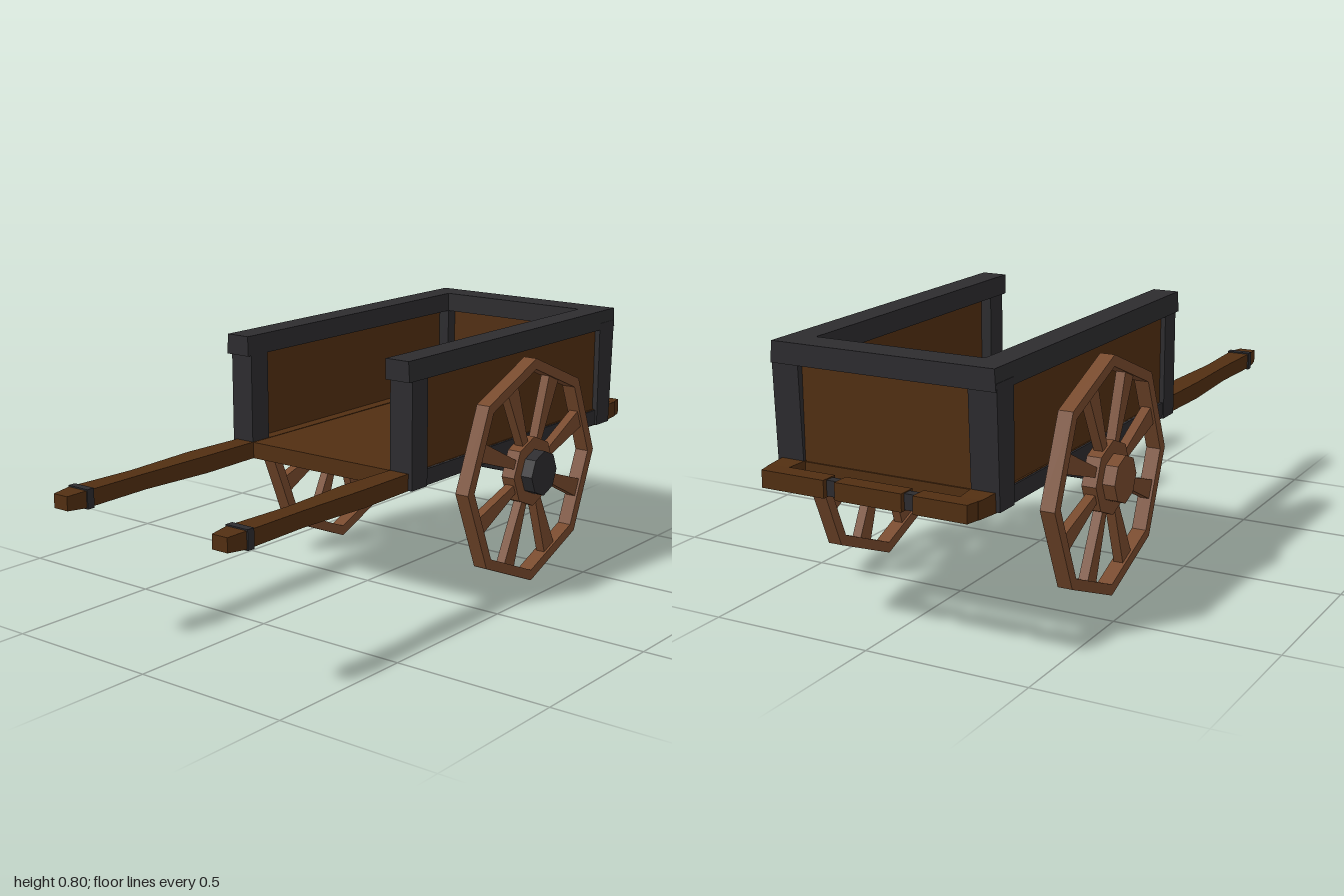
import * as THREE from 'three';

const paint = (color) => new THREE.MeshStandardMaterial({ color, flatShading: true });

export function createModel() {
  const cart = new THREE.Group();
  const wood = paint(0x522f12), wheelWood = paint(0x784a2d), iron = paint(0x2d2c2f);

  function add(name, geometry, material, parent = cart) {
    const mesh = new THREE.Mesh(geometry, material);
    mesh.name = name;
    parent.add(mesh);
    return mesh;
  }
  // box given by its limits on each axis
  function block(name, [x0, x1], [y0, y1], [z0, z1], material) {
    const g = new THREE.BoxGeometry(x1 - x0, y1 - y0, z1 - z0);
    g.translate((x0 + x1) / 2, (y0 + y1) / 2, (z0 + z1) / 2);
    return add(name, g, material);
  }
  // move the vertices of a mesh by a rule
  function reshape(mesh, rule) {
    const p = mesh.geometry.attributes.position, v = new THREE.Vector3();
    for (let i = 0; i < p.count; i++) {
      rule(v.fromBufferAttribute(p, i));
      p.setXYZ(i, v.x, v.y, v.z);
    }
    mesh.geometry.computeVertexNormals();
    return mesh;
  }

  // long side beam that becomes the pulling handle: x, half width, half height
  const stations = [
    [-1, 0.027, 0.021], [-0.94, 0.035, 0.025], [-0.9, 0.035, 0.025], [-0.7, 0.03, 0.024],
    [-0.45, 0.039, 0.027], [-0.25, 0.034, 0.026], [0.88, 0.038, 0.028], [0.96, 0.031, 0.025],
  ];
  function beamGeometry() {
    const n = stations.length - 1;
    const g = new THREE.BoxGeometry(n, 2, 2, n, 1, 1);
    const p = g.attributes.position;
    for (let i = 0; i < p.count; i++) {
      const [x, w, h] = stations[Math.round(p.getX(i) + n / 2)];
      p.setXYZ(i, x, 0.437 + p.getY(i) * h, p.getZ(i) * w);
    }
    g.computeVertexNormals();
    return g;
  }

  // bed
  block('floor', [-0.235, 0.88], [0.411, 0.462], [-0.3, 0.3], wood);
  block('frontPanel', [0.845, 0.875], [0.45, 0.76], [-0.3, 0.3], wood);
  const taperRail = (v) => {
    if (v.y > 0.77 && Math.abs(v.z) > 0.32) v.z -= Math.sign(v.z) * 0.004;
  };
  reshape(block('frontTopRail', [0.805, 0.9], [0.738, 0.8], [-0.353, 0.353], iron), taperRail);

  for (const s of [1, -1]) {
    const span = (a, b) => (s > 0 ? [a, b] : [-b, -a]);
    add('handleBeam', beamGeometry(), wood).position.z = s * 0.303;
    block('handleBand', [-0.935, -0.91], [0.408, 0.466], span(0.264, 0.342), iron);
    block('sidePanel', [-0.2, 0.86], [0.45, 0.76], span(0.305, 0.335), wood);
    block('sideSill', [-0.2, 0.86], [0.413, 0.463], span(0.29, 0.346), iron);
    reshape(block('sideTopRail', [-0.255, 0.82], [0.738, 0.8], span(0.267, 0.353), iron), taperRail);
    block('rearPost', [-0.237, -0.161], [0.412, 0.76], span(0.27, 0.35), iron);
    // front corner post leans slightly outward
    reshape(block('frontPost', [0.805, 0.882], [0.412, 0.76], span(0.267, 0.353), iron), (v) => {
      if (v.y > 0.7 && v.x > 0.85) v.x += 0.014;
    });
  }

  // front bumper: three boards joined by iron links
  for (const [a, b] of [[-0.335, -0.16], [-0.125, 0.085], [0.12, 0.335]]) {
    reshape(block('bumperBoard', [0.945, 1], [0.412, 0.463], [a, b], wood), (v) => {
      if (Math.abs(v.z) > 0.3 && v.x > 0.98) v.z *= 0.965;
    });
  }
  for (const z of [-0.1425, 0.1025]) {
    block('bumperLink', [0.957, 0.985], [0.415, 0.46], [z - 0.025, z + 0.025], iron);
  }

  // wheels
  const octagon = (r, Type) => new Type(Array.from({ length: 8 }, (_, i) => {
    const a = (i * Math.PI) / 4;
    return new THREE.Vector2(Math.cos(a) * r, Math.sin(a) * r);
  }));
  const disc = (r, depth) => new THREE.CylinderGeometry(r, r, depth, 8).rotateX(Math.PI / 2);
  const extrude = (shape, depth) =>
    new THREE.ExtrudeGeometry(shape, { depth, bevelEnabled: false }).translate(0, 0, -depth / 2);

  const rimShape = octagon(0.3625, THREE.Shape);
  rimShape.holes.push(octagon(0.328, THREE.Path));
  const rimGeometry = extrude(rimShape, 0.046);
  const spokeGeometry = extrude(new THREE.Shape([
    new THREE.Vector2(-0.013, 0.08), new THREE.Vector2(0.013, 0.08),
    new THREE.Vector2(0.03, 0.31), new THREE.Vector2(-0.03, 0.31),
  ]), 0.03);

  for (const s of [1, -1]) {
    const wheel = new THREE.Group();
    wheel.name = s > 0 ? 'frontWheel' : 'backWheel';
    wheel.position.set(0.325, 0.3625, s * 0.388);
    add('rim', rimGeometry, wheelWood, wheel);
    add('hub', disc(0.113, 0.046), wheelWood, wheel);
    add('hubCap', disc(0.0725, 0.05), s > 0 ? iron : wheelWood, wheel).position.z = s * 0.037;
    for (let i = 0; i < 8; i++) {
      add('spoke', spokeGeometry, wheelWood, wheel).rotation.z = ((i + 0.5) * Math.PI) / 4;
    }
    cart.add(wheel);
  }
  add('axle', disc(0.018, 0.76), iron).position.set(0.325, 0.3625, 0);

  return cart;
}
